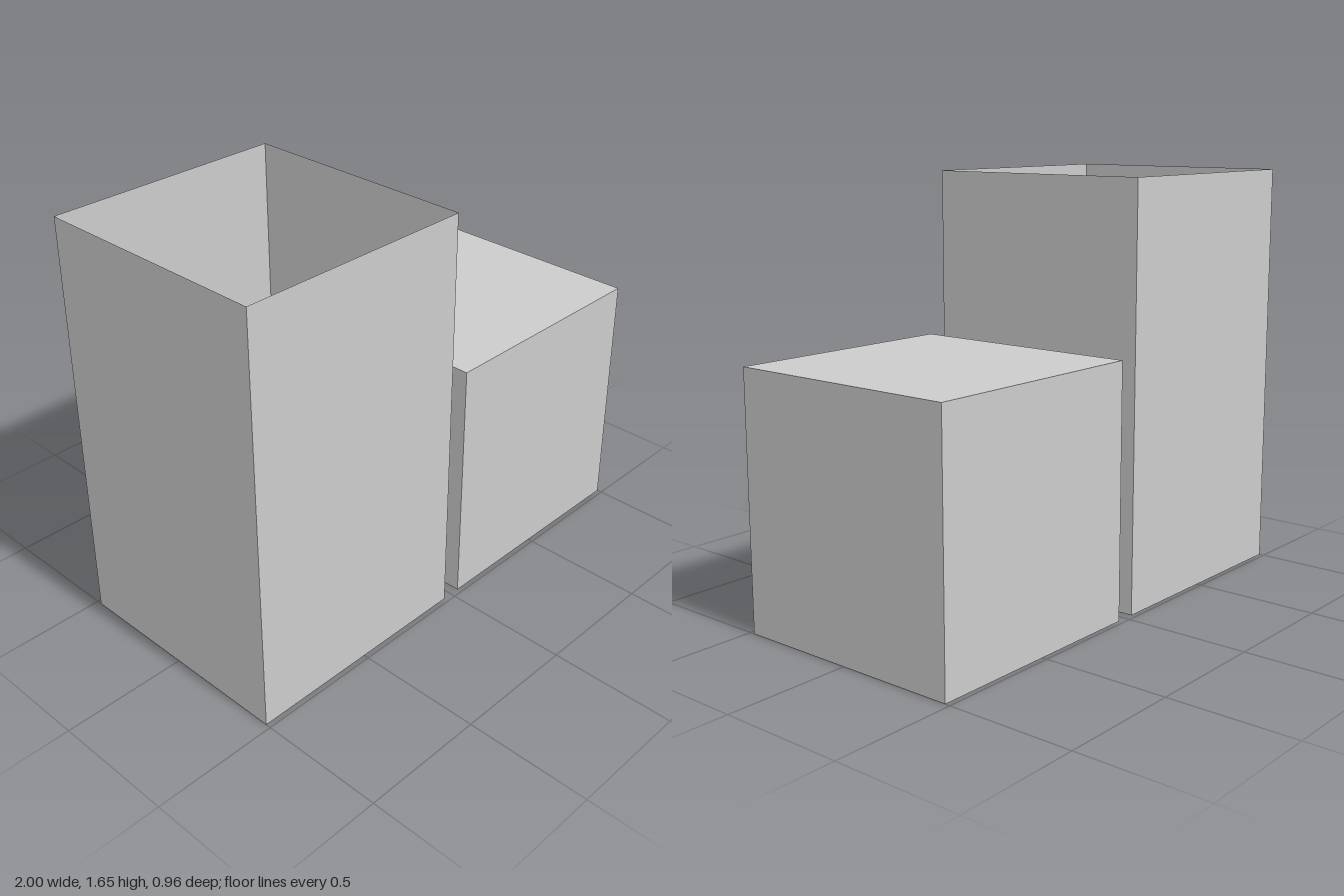
import * as THREE from 'three';

const SIDE = 0.96;
const OFFSET = 0.52;

// Square box standing on the ground; an open one has no top face
function makeBox(name, x, height, open) {
  const geometry = new THREE.BoxGeometry(SIDE, height, SIDE);
  if (open) {
    // The top is the third face: indices 12 to 17
    const index = Array.from(geometry.index.array);
    index.splice(12, 6);
    geometry.setIndex(index);
    geometry.clearGroups();
  }
  const material = new THREE.MeshStandardMaterial({
    color: 0xcccccc,
    side: open ? THREE.DoubleSide : THREE.FrontSide,
  });
  const mesh = new THREE.Mesh(geometry, material);
  mesh.name = name;
  mesh.position.set(x, height / 2, 0);
  return mesh;
}

export function createModel() {
  const model = new THREE.Group();
  model.name = 'boxes';
  // Tall thin-walled container on the right, closed block on the left
  model.add(makeBox('openContainer', -OFFSET, 1.655, true));
  model.add(makeBox('closedBlock', OFFSET, 1, false));
  return model;
}
